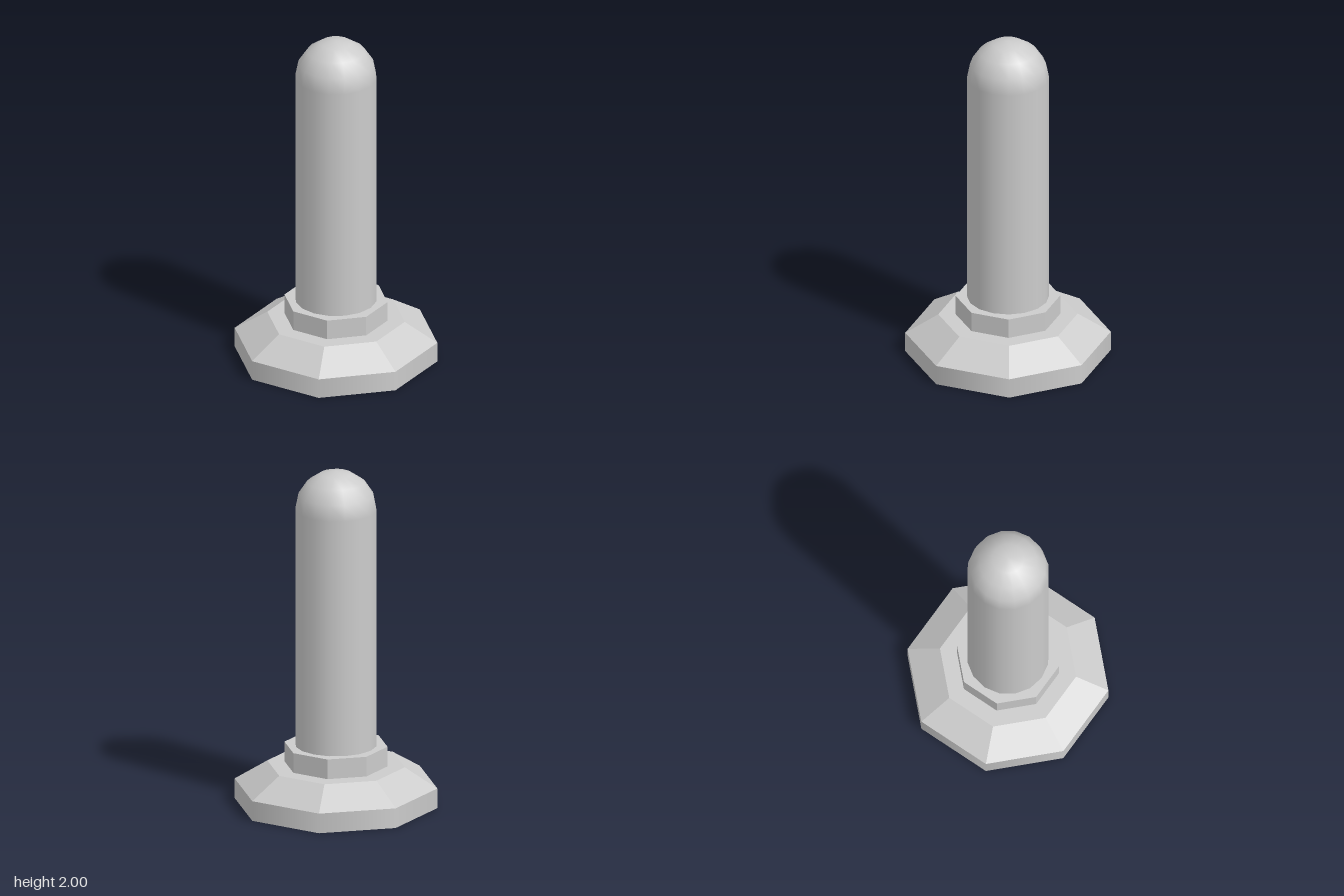
import * as THREE from 'three';

export function createModel() {
  const group = new THREE.Group();
  const smooth = new THREE.MeshStandardMaterial({ color: 0xcccccc });
  const flat = new THREE.MeshStandardMaterial({ color: 0xcccccc, flatShading: true });

  const add = (name, geometry, material, y) => {
    const mesh = new THREE.Mesh(geometry, material);
    mesh.name = name;
    mesh.position.y = y;
    group.add(mesh);
  };

  // Upright prism or frustum standing between two heights
  const drum = (name, topRadius, bottomRadius, y0, y1, sides, material) =>
    add(name, new THREE.CylinderGeometry(topRadius, bottomRadius, y1 - y0, sides), material, (y0 + y1) / 2);

  const shaftRadius = 0.236;
  const shaftTop = 2 - shaftRadius;

  // Octagonal foot, stepped up to the collar
  drum('baseDisc', 0.59, 0.59, 0, 0.118, 8, smooth);
  drum('baseBevel', 0.4, 0.59, 0.118, 0.236, 8, flat);
  drum('collar', 0.3, 0.3, 0.236, 0.354, 8, flat);

  // Round post with a domed end
  drum('shaft', shaftRadius, shaftRadius, 0.354, shaftTop, 16, smooth);
  add('dome', new THREE.SphereGeometry(shaftRadius, 16, 4, 0, Math.PI * 2, 0, Math.PI / 2), smooth, shaftTop);

  return group;
}
